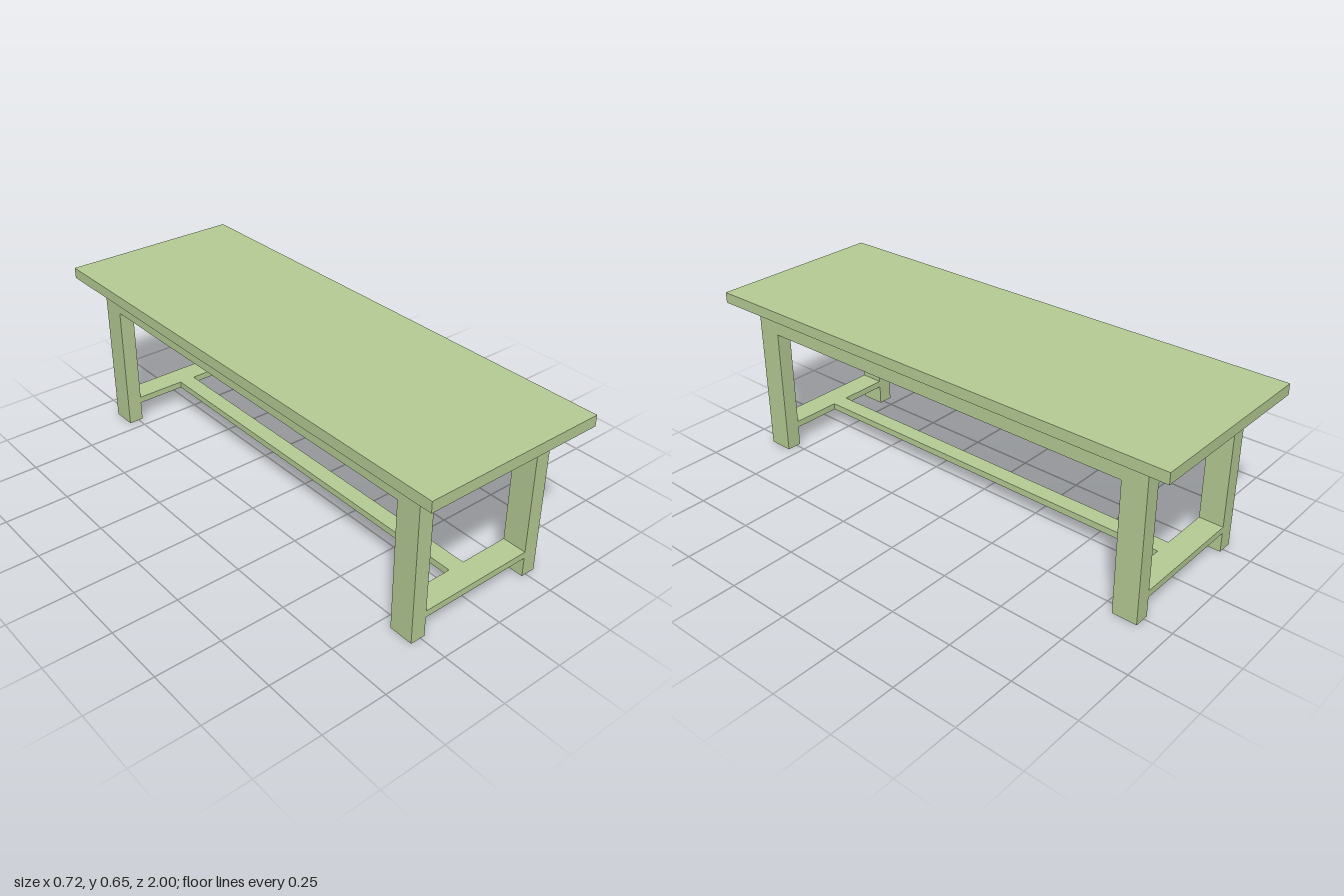
import * as THREE from 'three';

export function createModel() {
  const group = new THREE.Group();
  const material = new THREE.MeshStandardMaterial({ color: 0xb5cc94 });

  // Box given by its min and max along each axis
  const addBox = (name, [x0, x1], [y0, y1], [z0, z1]) => {
    const mesh = new THREE.Mesh(new THREE.BoxGeometry(x1 - x0, y1 - y0, z1 - z0), material);
    mesh.position.set((x0 + x1) / 2, (y0 + y1) / 2, (z0 + z1) / 2);
    mesh.name = name;
    group.add(mesh);
  };
  const span = (s, a, b) => (s > 0 ? [a, b] : [-b, -a]);

  const legIn = 0.232, legOut = 0.291;
  const endIn = 0.795, endOut = 0.891;
  const apronBottom = 0.51, apronTop = 0.61;
  const stretcherY = [0.078, 0.104];

  // Top board and the solid apron beneath it
  addBox('tableTop', [-0.359, 0.359], [apronTop, 0.652], [-1, 1]);
  addBox('apron', [-legOut, legOut], [apronBottom, apronTop], [-endOut, endOut]);

  // Legs flush with the apron, and a cross stretcher at each end
  for (const sz of [1, -1]) {
    const end = sz > 0 ? 'front' : 'back';
    const z = span(sz, endIn, endOut);
    for (const sx of [1, -1]) {
      addBox(end + (sx > 0 ? 'LeftLeg' : 'RightLeg'), span(sx, legIn, legOut), [0, apronBottom], z);
    }
    addBox(end + 'Stretcher', [-legIn, legIn], stretcherY, z);
  }

  // Long stretcher joining the two cross stretchers
  addBox('longStretcher', [-0.033, 0.033], stretcherY, [-endIn, endIn]);

  return group;
}
